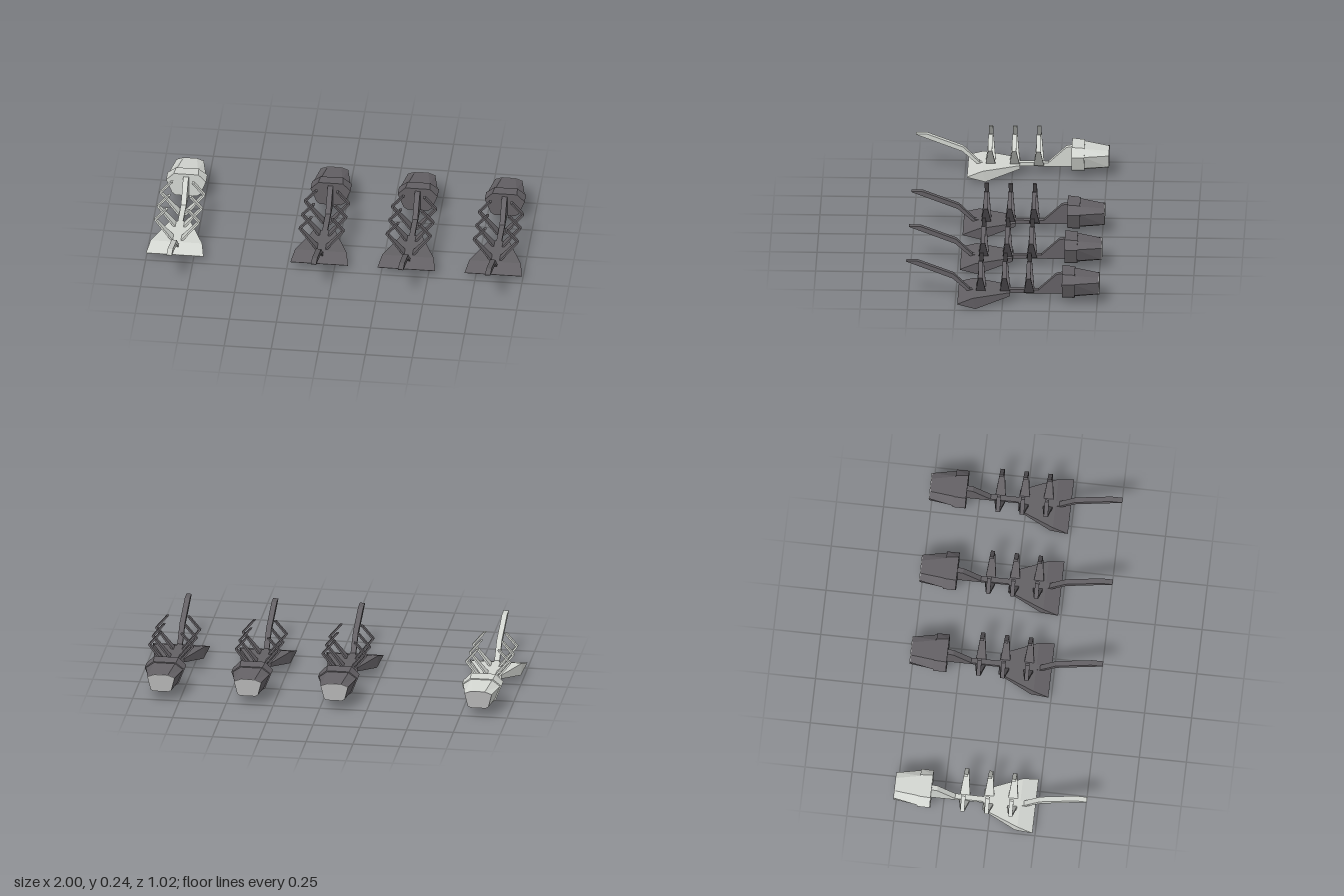
import * as THREE from 'three';

// Closed solid through matching rings of [x, y, z] points, flat faced and wound outward
function loft(rings) {
  const tris = [];
  const n = rings[0].length;
  for (let r = 0; r < rings.length - 1; r++) {
    for (let i = 0; i < n; i++) {
      const j = (i + 1) % n;
      const a = rings[r][i], b = rings[r][j], c = rings[r + 1][j], d = rings[r + 1][i];
      tris.push([a, b, c], [a, c, d]);
    }
  }
  const first = rings[0], last = rings[rings.length - 1];
  for (let i = 1; i < n - 1; i++) {
    tris.push([first[0], first[i + 1], first[i]], [last[0], last[i], last[i + 1]]);
  }
  let volume = 0;
  for (const [a, b, c] of tris) {
    volume += new THREE.Vector3(...a).dot(new THREE.Vector3(...b).cross(new THREE.Vector3(...c)));
  }
  if (volume < 0) tris.forEach((t) => t.reverse());
  const geometry = new THREE.BufferGeometry();
  geometry.setAttribute('position', new THREE.Float32BufferAttribute(tris.flat(2), 3));
  geometry.computeVertexNormals();
  return geometry;
}

// Four-cornered hull section
const slab = (wTop, yTop, zTop, wLow, yLow, zLow) => [
  [-wTop, yTop, zTop], [wTop, yTop, zTop], [wLow, yLow, zLow], [-wLow, yLow, zLow],
];

// Mirrored engine section from half widths and heights, top to bottom
const engineRing = (z, half) => [
  ...half.map(([x, y]) => [x, y, z]),
  ...half.slice().reverse().map(([x, y]) => [-x, y, z]),
];

// Arm section: width w along z, small thickness along x
const armRing = (x, y, z, w) => [
  [x - 0.006, y, z - w / 2], [x + 0.006, y, z - w / 2],
  [x + 0.006, y, z + w / 2], [x - 0.006, y, z + w / 2],
];

function spineGeometry() {
  const side = [
    [0.51, 0.222], [0.45, 0.222], [0.26, 0.15], [0.175, 0.065], [-0.19, 0.065],
    [-0.285, 0.155], [-0.33, 0.163], [-0.33, 0.045], [0.16, 0.045], [0.19, 0.058],
    [0.265, 0.125], [0.51, 0.219],
  ];
  const shape = new THREE.Shape(side.map(([z, y]) => new THREE.Vector2(z, y)));
  const geometry = new THREE.ExtrudeGeometry(shape, { depth: 0.028, bevelEnabled: false });
  geometry.translate(0, 0, -0.014);
  geometry.rotateY(-Math.PI / 2);
  return geometry;
}

export function createModel() {
  const mat = (name, color) => {
    const m = new THREE.MeshStandardMaterial({ color });
    m.name = name;
    return m;
  };
  const light = mat('lightHull', 0xd2d5d0);
  const dark = mat('darkHull', 0x636064);
  const exhaust = mat('exhaustGrey', 0xb4b4b4);

  // Shared parts
  const spine = spineGeometry();
  const bow = loft([
    slab(0.153, 0.038, 0.236, 0.153, 0.036, 0.236),
    slab(0.137, 0.065, 0.155, 0.132, 0.002, 0.14),
    slab(0.055, 0.065, -0.04, 0.055, 0.045, -0.04),
  ]);
  const collar = loft([
    engineRing(-0.315, [[0.065, 0.177], [0.106, 0.135], [0.075, 0.055], [0.055, 0.04]]),
    engineRing(-0.382, [[0.06, 0.171], [0.106, 0.135], [0.075, 0.055], [0.055, 0.04]]),
  ]);
  const rear = [[0.036, 0.148], [0.073, 0.134], [0.055, 0.063], [0.04, 0.055]];
  const cone = loft([
    engineRing(-0.38, [[0.056, 0.166], [0.099, 0.135], [0.07, 0.06], [0.05, 0.047]]),
    engineRing(-0.508, rear),
  ]);
  const cap = loft([engineRing(-0.508, rear), engineRing(-0.512, rear)]);
  const arms = [];
  for (const z of [0.115, -0.012, -0.14]) {
    for (const s of [-1, 1]) {
      arms.push(loft([
        armRing(s * 0.018, 0.053, z, 0.054),
        armRing(s * 0.116, 0.175, z, 0.022),
        armRing(s * 0.056, 0.246, z, 0.022),
      ]));
    }
  }

  // One light craft apart from three dark ones
  const fleet = new THREE.Group();
  fleet.name = 'fleet';
  const crafts = [[-0.847, light], [-0.079, dark], [0.384, dark], [0.847, dark]];
  for (const [x, hull] of crafts) {
    const craft = new THREE.Group();
    craft.name = hull === light ? 'lightCraft' : 'darkCraft';
    craft.position.x = x;
    const add = (name, geometry, material) => {
      const mesh = new THREE.Mesh(geometry, material);
      mesh.name = name;
      craft.add(mesh);
    };
    add('spine', spine, hull);
    add('bow', bow, hull);
    add('engineCollar', collar, hull);
    add('engineCone', cone, hull);
    add('exhaustCap', cap, exhaust);
    arms.forEach((g) => add('cargoArm', g, hull));
    fleet.add(craft);
  }
  return fleet;
}
